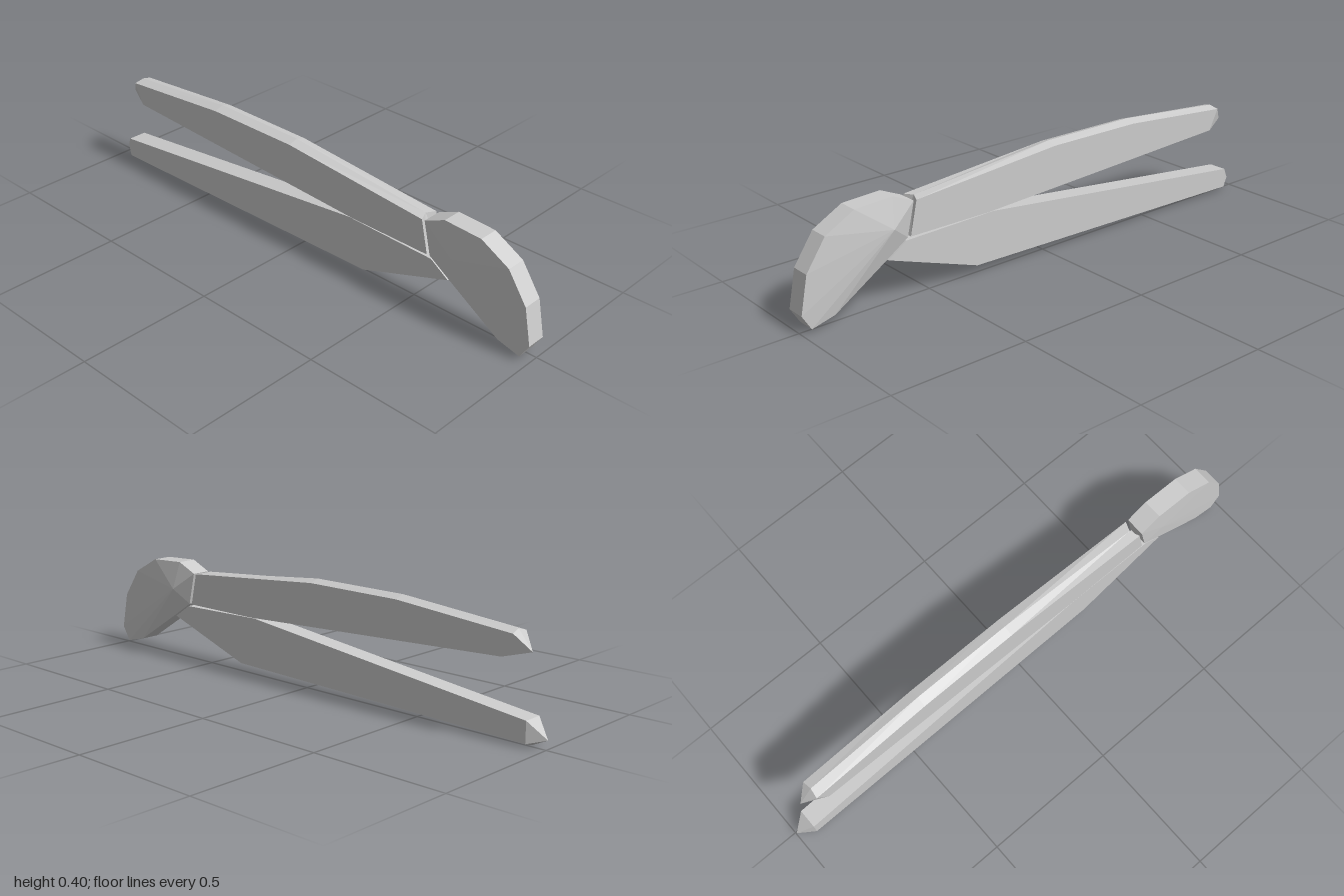
import * as THREE from 'three';

const LEFT = 0.024, RIGHT = -0.048, MID = -0.012;
const material = new THREE.MeshStandardMaterial({ color: 0xcccccc, flatShading: true });

// Flat-shaded mesh from a list of triangles, each made of three [x, y, z] corners
function meshFrom(name, triangles) {
  const geometry = new THREE.BufferGeometry();
  geometry.setAttribute('position', new THREE.Float32BufferAttribute(triangles.flat(2), 3));
  geometry.computeVertexNormals();
  const mesh = new THREE.Mesh(geometry, material);
  mesh.name = name;
  return mesh;
}

// Long finger with one flat face and one ridged face, closed by a pointed end.
// Each station holds [z, y] for the side edge, the ridge and the flat face.
function finger(name, stations, tip, ridgeUp) {
  const [a, b] = ridgeUp ? [LEFT, RIGHT] : [RIGHT, LEFT];
  const rings = stations.map(([edge, ridge, flat]) => [
    [a, edge[1], edge[0]], [MID, ridge[1], ridge[0]], [b, edge[1], edge[0]],
    [b, flat[1], flat[0]], [a, flat[1], flat[0]],
  ]);
  const triangles = [];
  for (let s = 0; s < rings.length - 1; s++) {
    const p = rings[s], q = rings[s + 1];
    for (let i = 0; i < 5; i++) {
      const j = (i + 1) % 5;
      triangles.push([p[i], q[i], q[j]], [p[i], q[j], p[j]]);
    }
  }
  // Front cap
  const f = rings[0];
  triangles.push([f[1], f[2], f[3]], [f[1], f[3], f[4]], [f[1], f[4], f[0]]);
  // Pointed rear end
  const e = rings[rings.length - 1], apex = [MID, tip[1], tip[0]];
  for (let i = 0; i < 5; i++) triangles.push([e[(i + 1) % 5], e[i], apex]);
  return meshFrom(name, triangles);
}

// Hooked slab whose sides rise to a low peak
function hook(name, outline, leftPeak, rightPeak) {
  const triangles = [];
  outline.forEach(([z, y], i) => {
    const [z2, y2] = outline[(i + 1) % outline.length];
    const l = [LEFT, y, z], l2 = [LEFT, y2, z2];
    const r = [RIGHT, y, z], r2 = [RIGHT, y2, z2];
    triangles.push([l, l2, leftPeak], [r2, r, rightPeak], [l, r, r2], [l, r2, l2]);
  });
  return meshFrom(name, triangles);
}

export function createModel() {
  const group = new THREE.Group();
  group.name = 'foldedClaw';

  group.add(hook('hookedHead', [
    [0.566, 0.343], [0.646, 0.378], [0.79, 0.371], [0.9, 0.311], [0.973, 0.204],
    [1.0, 0.07], [0.967, 0.016], [0.88, 0.038], [0.68, 0.166], [0.594, 0.223],
  ], [0.049, 0.275, 0.66], [-0.051, 0.25, 0.68]));

  group.add(finger('upperArm', [
    [[0.555, 0.343], [0.54, 0.346], [0.582, 0.222]],
    [[-0.04, 0.392], [-0.04, 0.403], [0.26, 0.222]],
    [[-0.42, 0.391], [-0.42, 0.403], [-0.4, 0.253]],
    [[-0.88, 0.353], [-0.875, 0.363], [-0.84, 0.274]],
  ], [-0.93, 0.297], true));

  group.add(finger('lowerArm', [
    [[0.672, 0.164], [0.67, 0.162], [0.6, 0.213]],
    [[0.313, 0.04], [0.313, 0.032], [0.24, 0.221]],
    [[-0.94, 0.015], [-0.94, 0.003], [-0.94, 0.09]],
  ], [-0.998, 0.031], false));

  return group;
}
